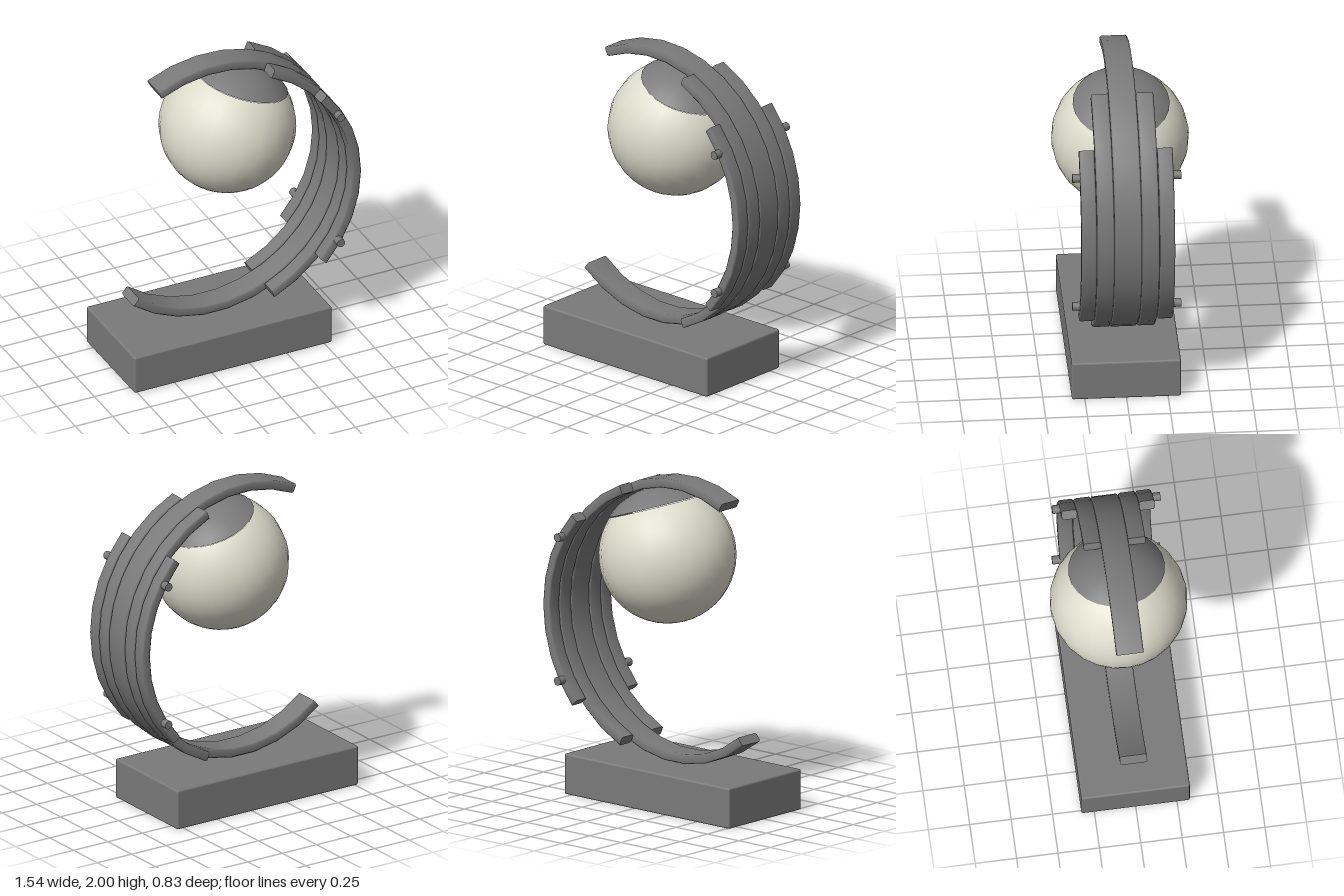
import * as THREE from 'three';
import { RoundedBoxGeometry } from 'three/addons/geometries/RoundedBoxGeometry.js';

const ARC = { x: -0.107, y: 1.127, inner: 0.815, outer: 0.873 };
const rad = THREE.MathUtils.degToRad;

// Curved bar: a bevelled rectangular section swept round the arc centre, closed with flat ends
function barGeometry(startDeg, endDeg, width) {
  const b = 0.009, w = width / 2, { inner, outer } = ARC;
  const section = [
    [inner, w - b], [inner + b, w], [outer - b, w], [outer, w - b],
    [outer, b - w], [outer - b, -w], [inner + b, -w], [inner, b - w],
  ];
  const n = section.length;
  const steps = Math.max(4, Math.round((endDeg - startDeg) / 11.25));
  const positions = [], indices = [];
  const addRing = (angle) => {
    for (const [r, z] of section) positions.push(r * Math.cos(angle), r * Math.sin(angle), z);
  };
  for (let i = 0; i <= steps; i++) addRing(rad(startDeg + ((endDeg - startDeg) * i) / steps));
  for (let i = 0; i < steps; i++) {
    for (let j = 0; j < n; j++) {
      const a = i * n + j, c = i * n + ((j + 1) % n);
      indices.push(a, a + n, c, c, a + n, c + n);
    }
  }
  // end caps on their own vertices so the rims stay sharp
  const first = positions.length / 3;
  addRing(rad(startDeg));
  addRing(rad(endDeg));
  for (let j = 1; j < n - 1; j++) {
    indices.push(first, first + j, first + j + 1);
    indices.push(first + n, first + n + j + 1, first + n + j);
  }
  const geometry = new THREE.BufferGeometry();
  geometry.setAttribute('position', new THREE.Float32BufferAttribute(positions, 3));
  geometry.setIndex(indices);
  geometry.computeVertexNormals();
  return geometry;
}

export function createModel() {
  const model = new THREE.Group();
  model.name = 'sphereStand';

  const grey = new THREE.MeshStandardMaterial({ color: 0x7a7a7a });
  grey.name = 'grey metal';
  grey.side = THREE.DoubleSide;
  const cream = new THREE.MeshStandardMaterial({ color: 0xdcdccc });
  cream.name = 'cream';

  const add = (parent, name, geometry, material, x = 0, y = 0, z = 0) => {
    const mesh = new THREE.Mesh(geometry, material);
    mesh.name = name;
    mesh.position.set(x, y, z);
    parent.add(mesh);
    return mesh;
  };

  // Base block
  add(model, 'base', new RoundedBoxGeometry(1.318, 0.25, 0.656, 2, 0.012), grey, -0.111, 0.125, 0);

  // Nested arc bars, shorter towards the outside
  const arcs = new THREE.Group();
  arcs.name = 'arcBars';
  arcs.position.set(ARC.x, ARC.y, 0.004);
  model.add(arcs);
  add(arcs, 'mainBar', barGeometry(-129, 116, 0.164), grey);
  for (const side of [1, -1]) {
    const label = side > 0 ? 'front' : 'back';
    add(arcs, label + 'MiddleBar', barGeometry(-67, 67, 0.104), grey, 0, 0, side * 0.135);
    add(arcs, label + 'OuterBar', barGeometry(-42.6, 42.6, 0.092), grey, 0, 0, side * 0.235);
    // Pins sticking out of the outer bars
    for (const tilt of [31.8, -31.8]) {
      const pin = add(arcs, label + 'Pin', new THREE.CylinderGeometry(0.026, 0.026, 0.1, 16), grey,
        0.84 * Math.cos(rad(tilt)), 0.84 * Math.sin(rad(tilt)), side * 0.277);
      pin.rotation.x = Math.PI / 2;
    }
  }

  // Globe tipped towards the bars, with a grey cap
  const globe = new THREE.Group();
  globe.name = 'globe';
  globe.position.set(0.01, 1.505, 0);
  globe.rotation.z = rad(-18.5);
  model.add(globe);
  const capAngle = rad(44);
  add(globe, 'globeBody',
    new THREE.SphereGeometry(0.413, 24, 18, 0, Math.PI * 2, capAngle, Math.PI - capAngle), cream);
  add(globe, 'globeCap',
    new THREE.SphereGeometry(0.419, 24, 8, 0, Math.PI * 2, 0, capAngle), grey);

  return model;
}
